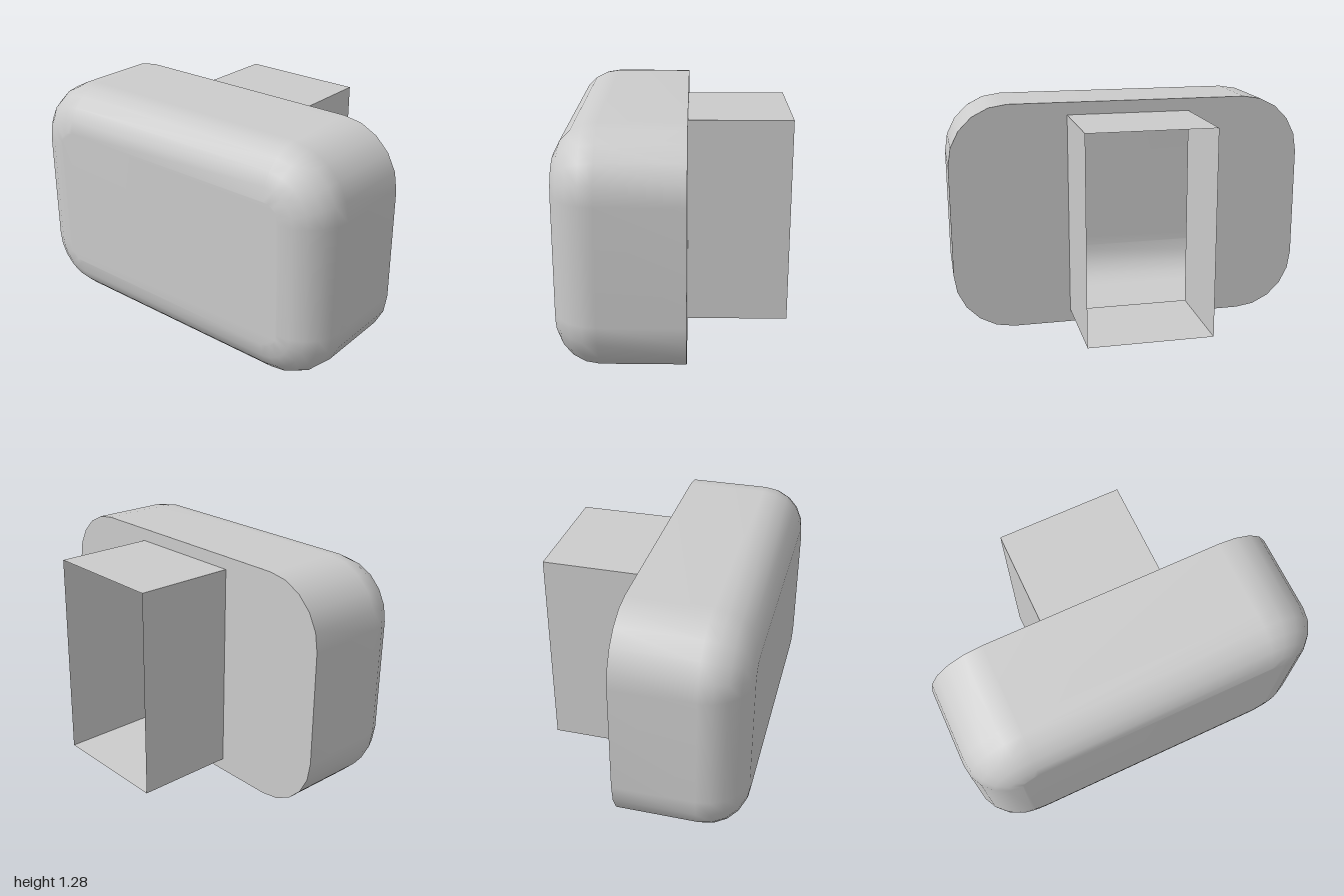
import * as THREE from 'three';

const W = 1, H = 0.64, R = 0.33;          // half width, half height, corner radius
const BACK = -0.06, FRONT = 0.615, BEVEL = 0.235;
const STEPS = 5;

// Rounded-rectangle outline, counter-clockwise, pulled in by inset
function outline(inset) {
  const points = [];
  const r = R - inset;
  for (let corner = 0; corner < 4; corner++) {
    const sx = corner === 0 || corner === 3 ? 1 : -1;
    const sy = corner < 2 ? 1 : -1;
    for (let i = 0; i <= STEPS; i++) {
      const a = (corner + i / STEPS) * Math.PI / 2;
      points.push(new THREE.Vector2(sx * (W - R) + r * Math.cos(a), sy * (H - R) + r * Math.sin(a)));
    }
  }
  return points;
}

// Straight sides, rounded front rim and flat front, as one smooth skin
function shellGeometry() {
  const rings = [[0, BACK]];
  for (let i = 0; i <= STEPS; i++) {
    const a = i / STEPS * Math.PI / 2;
    rings.push([BEVEL * (1 - Math.cos(a)), FRONT - BEVEL + BEVEL * Math.sin(a)]);
  }
  const positions = [], indices = [];
  for (const [inset, z] of rings) {
    for (const p of outline(inset)) positions.push(p.x, p.y, z);
  }
  const n = 4 * (STEPS + 1);
  for (let k = 0; k < rings.length - 1; k++) {
    for (let i = 0; i < n; i++) {
      const a = k * n + i, b = k * n + (i + 1) % n;
      indices.push(a, b, b + n, a, b + n, a + n);
    }
  }
  // Front face
  const last = (rings.length - 1) * n;
  for (const [a, b, c] of THREE.ShapeUtils.triangulateShape(outline(BEVEL), [])) {
    indices.push(last + a, last + b, last + c);
  }
  const geometry = new THREE.BufferGeometry();
  geometry.setAttribute('position', new THREE.Float32BufferAttribute(positions, 3));
  geometry.setIndex(indices);
  geometry.computeVertexNormals();
  return geometry;
}

export function createModel() {
  const group = new THREE.Group();
  group.name = 'housing';
  const material = new THREE.MeshStandardMaterial({ color: 0xcccccc, side: THREE.DoubleSide });
  const add = (name, geometry, x, y, z) => {
    const mesh = new THREE.Mesh(geometry, material);
    mesh.name = name;
    mesh.position.set(x, y, z);
    group.add(mesh);
    return mesh;
  };

  add('shell', shellGeometry(), 0, H, 0);

  // Back plate with the opening for the duct
  const w = 0.345, h = 0.57, depth = 0.555;
  const plate = new THREE.Shape(outline(0));
  plate.holes.push(new THREE.Path([[-w, -h], [-w, h], [w, h], [w, -h]].map(p => new THREE.Vector2(...p))));
  add('backPlate', new THREE.ShapeGeometry(plate), 0, H, BACK).rotation.y = Math.PI;

  // Thin open duct reaching back from the opening
  const z = BACK - depth / 2;
  for (const s of [-1, 1]) {
    const side = s > 0 ? 'left' : 'right';
    add(side + 'DuctWall', new THREE.PlaneGeometry(depth, 2 * h), s * w, H, z).rotation.y = s * Math.PI / 2;
    add(s > 0 ? 'ductTop' : 'ductFloor', new THREE.PlaneGeometry(2 * w, depth), 0, H + s * h, z).rotation.x = -s * Math.PI / 2;
  }
  return group;
}
